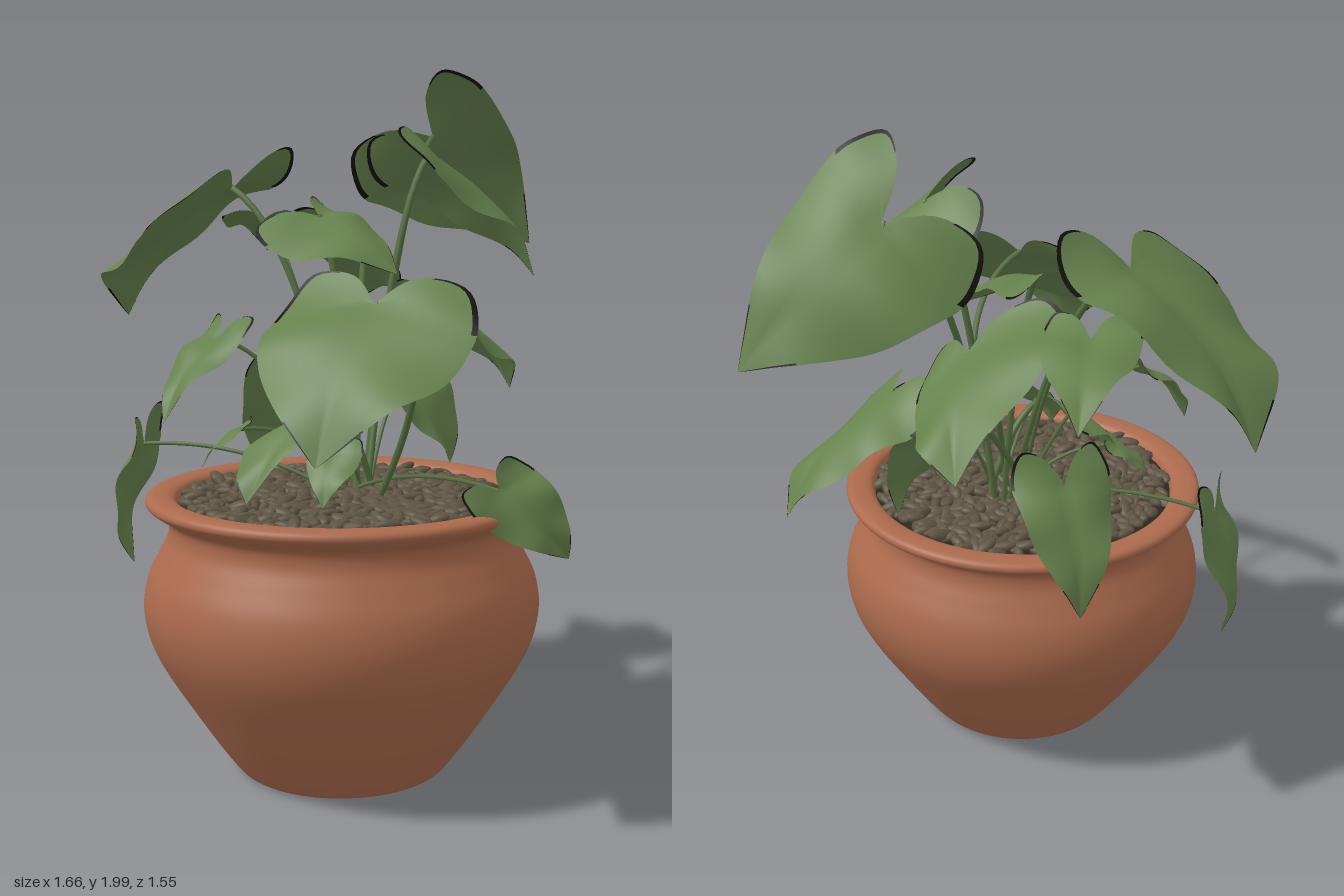
import * as THREE from 'three';
import { mergeGeometries } from 'three/addons/utils/BufferGeometryUtils.js';

const V = (p) => new THREE.Vector3(p[0], p[1], p[2]);
const POT = [0.11, 0, 0.22];

let seed = 7;
const rand = () => (seed = (seed * 16807) % 2147483647) / 2147483647;

// Half outline of an arrow-heart leaf: u across, v from notch (0) to tip (1)
const LOBE_U = 0.75, LOBE_V = -0.3;
const MARGIN = new THREE.SplineCurve(
  [[0, 0], [0.3, -0.22], [LOBE_U, LOBE_V], [0.97, -0.14], [1, 0.05], [0.84, 0.37], [0.52, 0.65], [0.2, 0.87], [0, 1]]
    .map(([u, v]) => new THREE.Vector2(u, v)));

// Large leaves: notch, tip and the two lobe ends, with a stem root and bend where it strays
const LARGE = [
  { notch: [-0.2, 1.8, -0.38], tip: [-0.16, 1.46, -0.77], lobes: [[-0.35, 1.76, -0.18], [-0.07, 2.0, -0.3]] },
  { notch: [0.1, 1.74, -0.11], tip: [0.22, 1.38, -0.42], lobes: [[-0.07, 1.78, -0.03], [0.25, 1.8, 0.12]] },
  { notch: [0.56, 1.36, 0.46], tip: [0.68, 1.0, 0.73], lobes: [[0.36, 1.43, 0.5], [0.72, 1.41, 0.31]],
    root: [0.2, 0.76, 0.17], bend: [0.5, 1.25, 0.14] },
  { notch: [-0.4, 1.64, 0.24], tip: [-0.8, 1.24, 0.38], lobes: [[-0.4, 1.77, 0.03], [-0.25, 1.66, 0.45]] },
  { notch: [-0.32, 1.46, -0.2], tip: [-0.63, 1.26, -0.4], lobes: [[-0.35, 1.59, 0], [-0.24, 1.43, -0.26]] },
  { notch: [-0.14, 1.56, 0.11], tip: [0.15, 1.4, 0.05], lobes: [[-0.31, 1.62, 0.0], [-0.22, 1.54, 0.27]] },
  { notch: [0.13, 1.04, 0.31], tip: [0.12, 0.8, 0.55], lobes: [[0.03, 1.05, 0.31], [0.21, 1.13, 0.2]] },
  { notch: [-0.13, 1.3, -0.33], tip: [-0.12, 0.99, -0.65], lobes: [[-0.25, 1.35, -0.27], [-0.03, 1.31, -0.27]] },
];

// Small leaves: notch, tip and either lobe ends or half width
const SMALL = [
  { notch: [-0.56, 1.54, 0.02], tip: [-0.83, 1.43, -0.18], half: 0.13 },
  { notch: [-0.49, 0.88, 0.51], tip: [-0.55, 0.5, 0.52], lobes: [[-0.43, 0.97, 0.58], [-0.53, 1.0, 0.43]] },
  { notch: [-0.42, 1.05, 0.04], tip: [-0.56, 0.71, 0.02], half: 0.14 },
  { notch: [-0.15, 1.22, 0.46], tip: [-0.12, 1.0, 0.66], half: 0.1 },
  { notch: [0.32, 0.95, 0.4], tip: [0.37, 0.82, 0.48], half: 0.075 },
  { notch: [-0.12, 0.96, 0.41], tip: [-0.18, 0.85, 0.5], half: 0.06 },
  { notch: [0, 1.05, -0.1], tip: [0.05, 0.81, -0.24], lobes: [[-0.03, 1.16, -0.17], [0.03, 1.08, -0.02]] },
  { notch: [0.63, 0.86, 0.1], tip: [0.72, 0.67, -0.07], lobes: [[0.63, 0.95, 0.07], [0.6, 0.86, 0.2]] },
];

// Vectors from the midrib to the widest point on each side
function sideVectors({ notch, tip, lobes, half }) {
  const n = V(notch), axis = V(tip).sub(n);
  if (lobes) return lobes.map((l) => V(l).sub(n).addScaledVector(axis, -LOBE_V).divideScalar(LOBE_U));
  const side = new THREE.Vector3(-axis.z, 0, axis.x).normalize().multiplyScalar(half);
  return [side, side.clone().negate()];
}

// Curved leaf blade: ribs fan out from the midrib; the outer strip is withered at lobes and tip
function leafGeometry(leaf) {
  const RIBS = 40, COLS = 7, W = COLS * 2 + 1;
  const n = V(leaf.notch), axis = V(leaf.tip).sub(n), len = axis.length();
  const sides = sideVectors(leaf);
  const up = sides[1].clone().sub(sides[0]).cross(axis).normalize();
  if (up.y < 0) up.negate();
  const pos = [], green = [], dark = [];
  for (let i = 0; i <= RIBS; i++) {
    const s = i / RIBS, edge = MARGIN.getPoint(s);
    const mid = Math.max(0, (s - 0.3) / 0.7);
    const withered = (s > 0.15 && s < 0.45) || s > 0.78;
    for (let j = -COLS; j <= COLS; j++) {
      const c = Math.abs(j), k = c === COLS ? 1 : 0.95 * c / (COLS - 1);
      const u = edge.x * k, v = mid + (edge.y - mid) * k;
      const lift = 0.1 * Math.sin(Math.PI * Math.max(0, v)) + 0.1 * u * (1 - u)
        - 0.04 * u * u + 0.045 * u * Math.sin(9 * v + (j < 0 ? 0 : 2));
      const p = n.clone().addScaledVector(axis, v)
        .addScaledVector(sides[j < 0 ? 0 : 1], u).addScaledVector(up, lift * len);
      pos.push(p.x, p.y, p.z);
      if (i < RIBS && j < COLS) {
        const a = i * W + j + COLS, b = a + W;
        const outer = j === -COLS || j === COLS - 1;
        (outer && withered ? dark : green).push(a, b, a + 1, b, b + 1, a + 1);
      }
    }
  }
  const g = new THREE.BufferGeometry();
  g.setAttribute('position', new THREE.Float32BufferAttribute(pos, 3));
  g.setIndex([...green, ...dark]);
  g.addGroup(0, green.length, 0);
  g.addGroup(green.length, dark.length, 1);
  g.computeVertexNormals();
  return g;
}

// Arching stalk from the crown of the plant to the leaf notch
function stemGeometry(leaf, radius) {
  const end = V(leaf.notch);
  const base = leaf.root ? V(leaf.root)
    : new THREE.Vector3(0.06 + (rand() - 0.5) * 0.12, 0.76, 0.14 + (rand() - 0.5) * 0.12);
  const bend = leaf.bend ? V(leaf.bend) : base.clone().lerp(end, 0.45);
  if (!leaf.bend) bend.y = base.y + (end.y - base.y) * 0.8 + 0.06;
  return new THREE.TubeGeometry(new THREE.QuadraticBezierCurve3(base, bend, end), 20, radius, 6);
}

// Long pebbles laid in a spiral over the soil
function gravelGeometry() {
  const parts = [], COUNT = 560;
  for (let i = 0; i < COUNT; i++) {
    const r = 0.445 * Math.sqrt((i + 0.5) / COUNT), a = i * 2.39996;
    const size = 0.8 + rand() * 0.4;
    const g = new THREE.IcosahedronGeometry(1, 1);
    g.scale(0.036 * size, 0.014, 0.018 * size);
    g.rotateX((rand() - 0.5) * 1.2);
    g.rotateZ((rand() - 0.5) * 0.7);
    g.rotateY(rand() * Math.PI);
    g.translate(r * Math.cos(a), 0.772 + rand() * 0.016, r * Math.sin(a));
    parts.push(g);
  }
  return mergeGeometries(parts);
}

export function createModel() {
  const group = new THREE.Group();
  const material = (name, color, side = THREE.FrontSide) => {
    const m = new THREE.MeshStandardMaterial({ color, side });
    m.name = name;
    return m;
  };
  const terracotta = material('terracotta', 0xab6a4d);
  const leafGreen = material('leafGreen', 0x66814d, THREE.DoubleSide);
  const witheredEdge = material('witheredEdge', 0x12110c, THREE.DoubleSide);
  const stemGreen = material('stemGreen', 0x566f40);
  const pebbleBrown = material('pebbleBrown', 0x5d5341);
  const soilBrown = material('soilBrown', 0x2e261d);

  const add = (name, geometry, mat, parent = group) => {
    const mesh = new THREE.Mesh(geometry, mat);
    mesh.name = name;
    parent.add(mesh);
  };

  // Pot with rounded belly, neck and rolled rim
  const pot = new THREE.Group();
  pot.name = 'pot';
  pot.position.set(...POT);
  group.add(pot);
  const profile = new THREE.SplineCurve(
    [[0.285, 0], [0.305, 0.012], [0.36, 0.085], [0.43, 0.19], [0.505, 0.31], [0.545, 0.395], [0.56, 0.48], [0.548, 0.56],
      [0.515, 0.63], [0.489, 0.685], [0.491, 0.73], [0.53, 0.757], [0.55, 0.775], [0.545, 0.793],
      [0.52, 0.8], [0.48, 0.795], [0.462, 0.775], [0.458, 0.73]].map(([r, y]) => new THREE.Vector2(r, y)));
  add('potBody', new THREE.LatheGeometry(profile.getPoints(85), 72), terracotta, pot);
  add('potBase', new THREE.CircleGeometry(0.285, 72).rotateX(Math.PI / 2), terracotta, pot);

  // Filling
  add('soil', new THREE.CircleGeometry(0.465, 48).rotateX(-Math.PI / 2).translate(0, 0.768, 0), soilBrown, pot);
  add('gravel', gravelGeometry(), pebbleBrown, pot);

  // Foliage
  const addLeaf = (leaf, name, radius) => {
    const stalk = new THREE.Group();
    stalk.name = name;
    add('blade', leafGeometry(leaf), [leafGreen, witheredEdge], stalk);
    add('stem', stemGeometry(leaf, radius), stemGreen, stalk);
    group.add(stalk);
  };
  LARGE.forEach((leaf, i) => addLeaf(leaf, `largeLeaf${i + 1}`, 0.01));
  SMALL.forEach((leaf, i) => addLeaf(leaf, `smallLeaf${i + 1}`, 0.006));
  return group;
}
